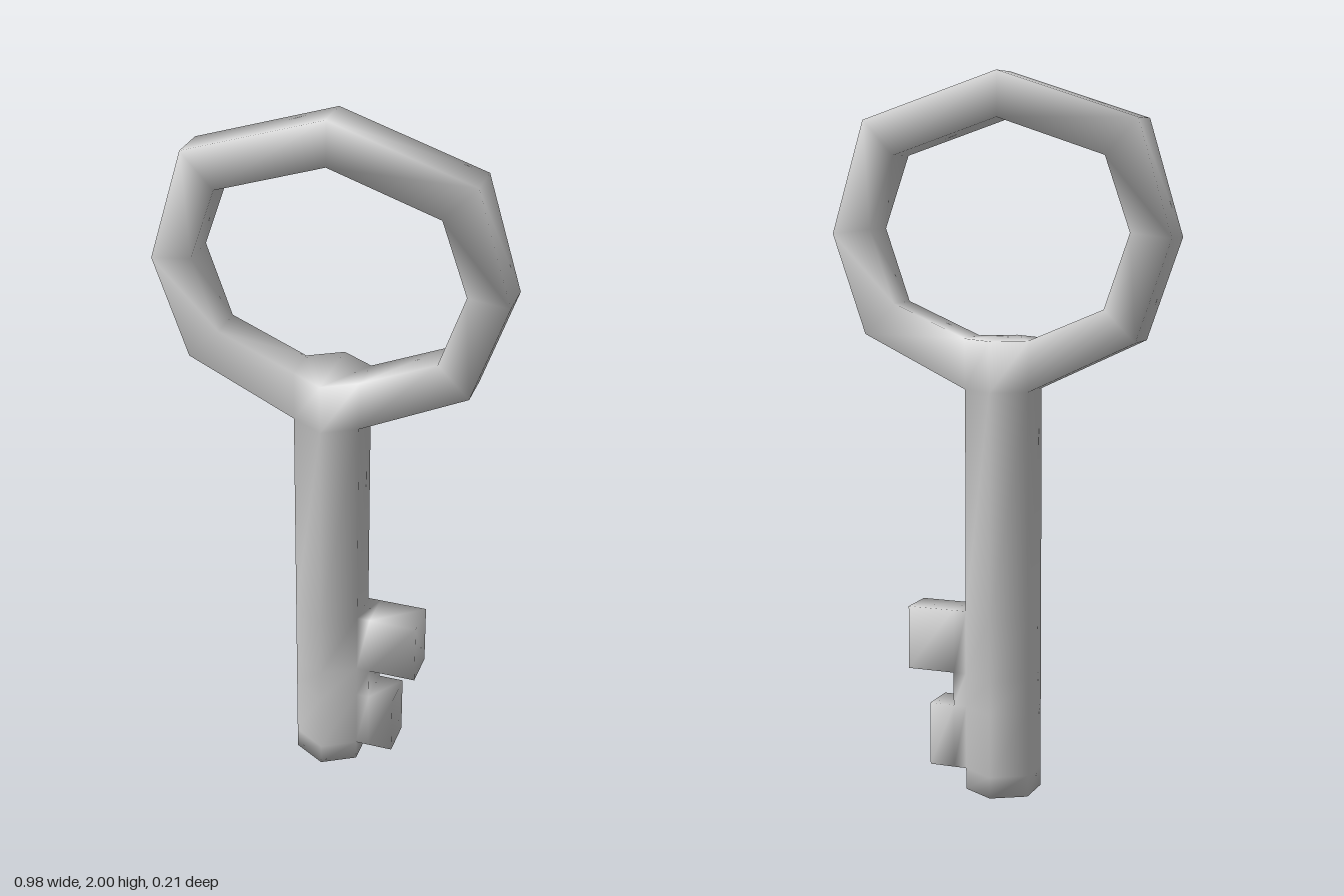
import * as THREE from 'three';

const R = 0.1068;               // shaft radius
const W = R * Math.sqrt(3) / 2; // half width of the hexagonal shaft
const D = R / 2;                // half thickness of bow and teeth

// Mesh from a list of four-cornered faces (counter-clockwise from outside)
function part(name, quads) {
  const pos = [];
  for (const [a, b, c, d] of quads) pos.push(...a, ...b, ...c, ...a, ...c, ...d);
  const geo = new THREE.BufferGeometry();
  geo.setAttribute('position', new THREE.Float32BufferAttribute(pos, 3));
  const mesh = new THREE.Mesh(geo, new THREE.MeshStandardMaterial({ color: 0xcccccc }));
  mesh.name = name;
  return mesh;
}

// Flat slab: front and back from 2D faces, walls along open outlines
function slab(faces, outlines) {
  const at = (p, z) => [p[0], p[1], z];
  const quads = [];
  for (const f of faces) {
    quads.push(f.map(p => at(p, D)), f.map(p => at(p, -D)).reverse());
  }
  for (const line of outlines) {
    for (let i = 0; i + 1 < line.length; i++) {
      const a = line[i], b = line[i + 1];
      quads.push([at(a, -D), at(b, -D), at(b, D), at(a, D)]);
    }
  }
  return quads;
}

// Smooth normals shared by every corner at the same place, across all parts
function smoothTogether(meshes) {
  const sums = new Map();
  const v = [0, 1, 2].map(() => new THREE.Vector3());
  const key = p => p.toArray().map(n => Math.round(n * 1000)).join();
  for (const { geometry } of meshes) {
    const pos = geometry.attributes.position;
    for (let i = 0; i < pos.count; i += 3) {
      v.forEach((p, j) => p.fromBufferAttribute(pos, i + j));
      const n = v[1].clone().sub(v[0]).cross(v[2].clone().sub(v[0]));
      for (const p of v) {
        const k = key(p);
        if (!sums.has(k)) sums.set(k, new THREE.Vector3());
        sums.get(k).add(n);
      }
    }
  }
  for (const { geometry } of meshes) {
    const pos = geometry.attributes.position, normals = [];
    for (let i = 0; i < pos.count; i++) {
      const n = sums.get(key(v[0].fromBufferAttribute(pos, i))).clone().normalize();
      normals.push(n.x, n.y, n.z);
    }
    geometry.setAttribute('normal', new THREE.Float32BufferAttribute(normals, 3));
  }
}

// Hexagonal shaft, left open where the bow and teeth join it
function makeShaft() {
  const levels = [0, 0.06, 0.24, 0.335, 0.515, 1.14, 1.28];
  const corner = (k, y) => {
    const a = k * Math.PI / 3;
    return [R * Math.sin(a), y, R * Math.cos(a)];
  };
  const quads = [];
  for (let i = 0; i + 1 < levels.length; i++) {
    const lo = levels[i], hi = levels[i + 1];
    for (let k = 0; k < 6; k++) {
      const bowJoint = i === 5 && (k === 1 || k === 4);
      const teethJoint = k === 1 && i >= 1 && i <= 3;
      if (bowJoint || teethJoint) continue;
      quads.push([corner(k, lo), corner(k + 1, lo), corner(k + 1, hi), corner(k, hi)]);
    }
  }
  for (const ks of [[0, 1, 2, 3], [0, 3, 4, 5]]) {
    quads.push(ks.map(k => corner(k, 1.28)), ks.map(k => corner(k, 0)).reverse());
  }
  return part('shaft', quads);
}

// Eight-sided bow, mirrored left to right
function makeBow() {
  const mirrored = half => [...half, ...half.slice(0, -1).reverse().map(([x, y]) => [-x, y])];
  const outer = mirrored([[W, 1.14], [0.393, 1.283], [0.49, 1.56], [0.395, 1.872], [0, 2]]);
  const inner = mirrored([[W, 1.28], [0.305, 1.37], [0.376, 1.573], [0.305, 1.775], [0, 1.876]]);
  const faces = outer.slice(1).map((p, i) => [outer[i], p, inner[i + 1], inner[i]]);
  return part('bow', slab(faces, [outer, inner.slice().reverse()]));
}

// Two teeth joined by a narrow web
function makeTeeth() {
  const web = 0.13;
  const rect = (x0, x1, y0, y1) => [[x0, y0], [x1, y0], [x1, y1], [x0, y1]];
  const faces = [
    rect(W, web, 0.06, 0.24), rect(web, 0.202, 0.06, 0.24),
    rect(W, web, 0.24, 0.335),
    rect(W, web, 0.335, 0.515), rect(web, 0.267, 0.335, 0.515),
  ];
  const outline = [[W, 0.06], [web, 0.06], [0.202, 0.06], [0.202, 0.24], [web, 0.24],
    [web, 0.335], [0.267, 0.335], [0.267, 0.515], [web, 0.515], [W, 0.515]];
  return part('teeth', slab(faces, [outline]));
}

export function createModel() {
  const group = new THREE.Group();
  group.name = 'key';
  const meshes = [makeShaft(), makeBow(), makeTeeth()];
  smoothTogether(meshes);
  group.add(...meshes);
  return group;
}
